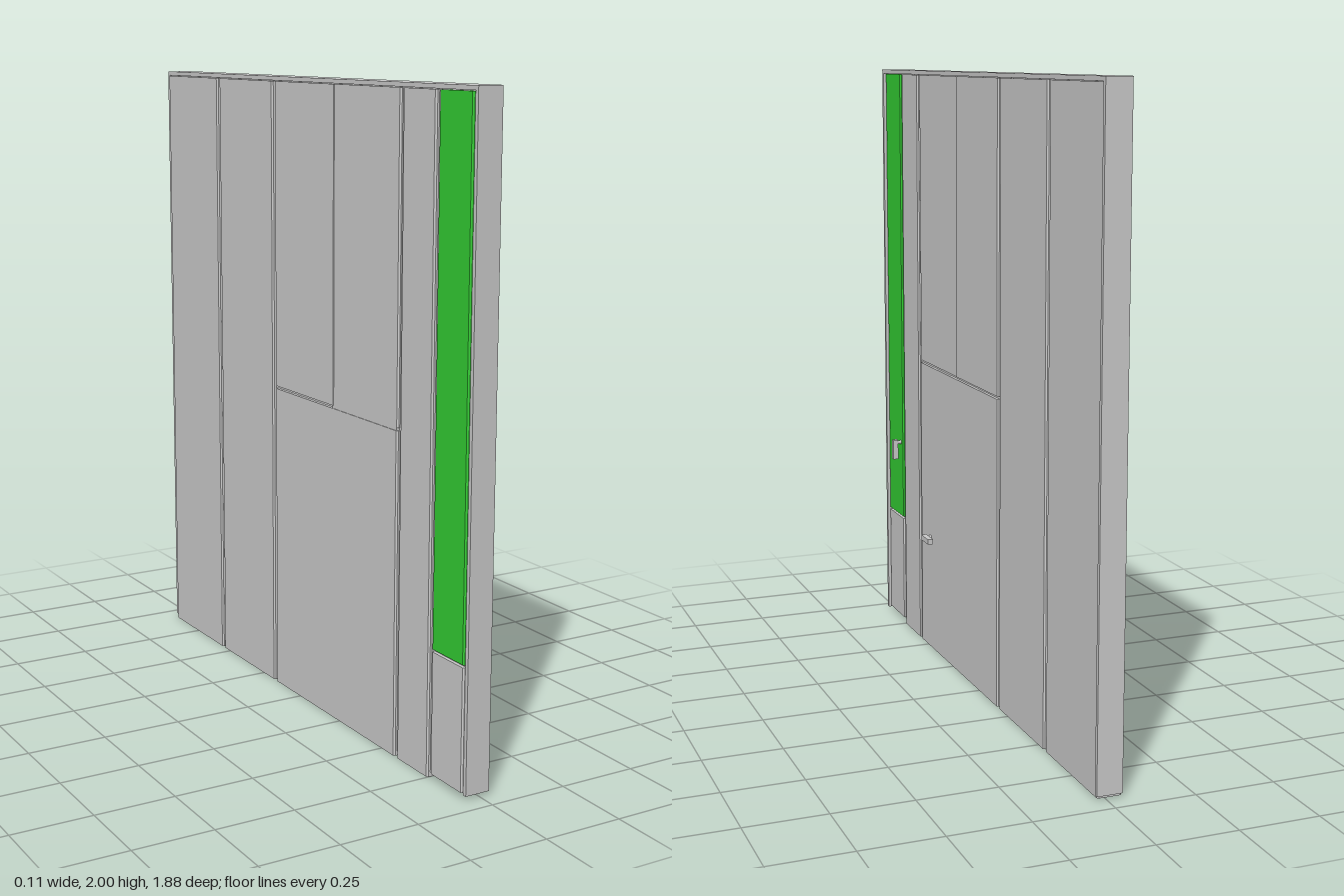
import * as THREE from 'three';

const grey = new THREE.MeshStandardMaterial({ color: 0xcccccc, flatShading: true });
const green = new THREE.MeshStandardMaterial({ color: 0x33cc33, flatShading: true });

export function createModel() {
  const model = new THREE.Group();
  model.name = 'partitionWall';

  // Box given by its min and max corners
  function box(name, x0, x1, y0, y1, z0, z1, material = grey, parent = model) {
    const mesh = new THREE.Mesh(new THREE.BoxGeometry(x1 - x0, y1 - y0, z1 - z0), material);
    mesh.position.set((x0 + x1) / 2, (y0 + y1) / 2, (z0 + z1) / 2);
    mesh.name = name;
    parent.add(mesh);
    return mesh;
  }

  // Upright panel whose vertical edges are chamfered on both faces
  function panel(name, y0, y1, z0, z1, material = grey, x0 = -0.055, x1 = 0.022) {
    const c = 0.005;
    const shape = new THREE.Shape([
      [x0, -z0 - c], [x0, -z1 + c], [x0 + c, -z1], [x1 - c, -z1],
      [x1, -z1 + c], [x1, -z0 - c], [x1 - c, -z0], [x0 + c, -z0],
    ].map(([x, y]) => new THREE.Vector2(x, y)));
    const geometry = new THREE.ExtrudeGeometry(shape, { depth: y1 - y0, bevelEnabled: false });
    geometry.rotateX(-Math.PI / 2);
    const mesh = new THREE.Mesh(geometry, material);
    mesh.position.y = y0;
    mesh.name = name;
    model.add(mesh);
  }

  // Outer frame: top rail and two end posts
  box('topRail', -0.05, 0.03, 1.987, 2, -0.94, 0.94);
  box('backPost', -0.05, 0.03, 0.012, 1.987, -0.94, -0.927);
  box('frontPost', -0.05, 0.03, 0.012, 1.987, 0.927, 0.94);

  // Thin core seen at the bottom of the grooves
  box('core', -0.044, 0.012, 0.014, 1.987, -0.927, 0.927);

  // Full-height panels
  panel('backPanel', 0, 1.985, -0.925, -0.555);
  panel('secondPanel', 0, 1.985, -0.54, -0.175);
  panel('narrowPanel', 0, 1.985, 0.585, 0.75);

  // Large doors, the upper one with a slightly raised leaf
  panel('lowerDoor', 0, 1.003, -0.16, 0.57);
  panel('upperDoor', 1.012, 1.985, -0.16, 0.57, grey, -0.053, 0.02);
  panel('upperLeaf', 1.012, 1.985, -0.16, 0.21);
  box('seamCover', -0.053, -0.03, 0.99, 1.02, 0.2, 0.565);

  // Side light: coloured pane over a solid base panel
  panel('sidePane', 0.4, 1.985, 0.765, 0.925, green);
  panel('sideBase', 0.018, 0.392, 0.765, 0.925);

  // Lever handle: round stem and bar hanging down from it
  function handle(name, y, z, turn) {
    const group = new THREE.Group();
    group.name = name;
    const stem = new THREE.Mesh(new THREE.CylinderGeometry(0.007, 0.007, 0.025, 12), grey);
    stem.rotation.z = Math.PI / 2;
    stem.position.x = 0.0325;
    stem.name = 'handleStem';
    group.add(stem);
    box('handleBar', 0.036, 0.054, -0.06, 0.01, -0.009, 0.009, grey, group);
    group.position.set(0, y, z);
    group.rotation.x = turn;
    model.add(group);
  }
  handle('uprightHandle', 0.673, 0.79, 0);
  handle('levelHandle', 0.4, 0.47, Math.PI / 2);

  return model;
}
